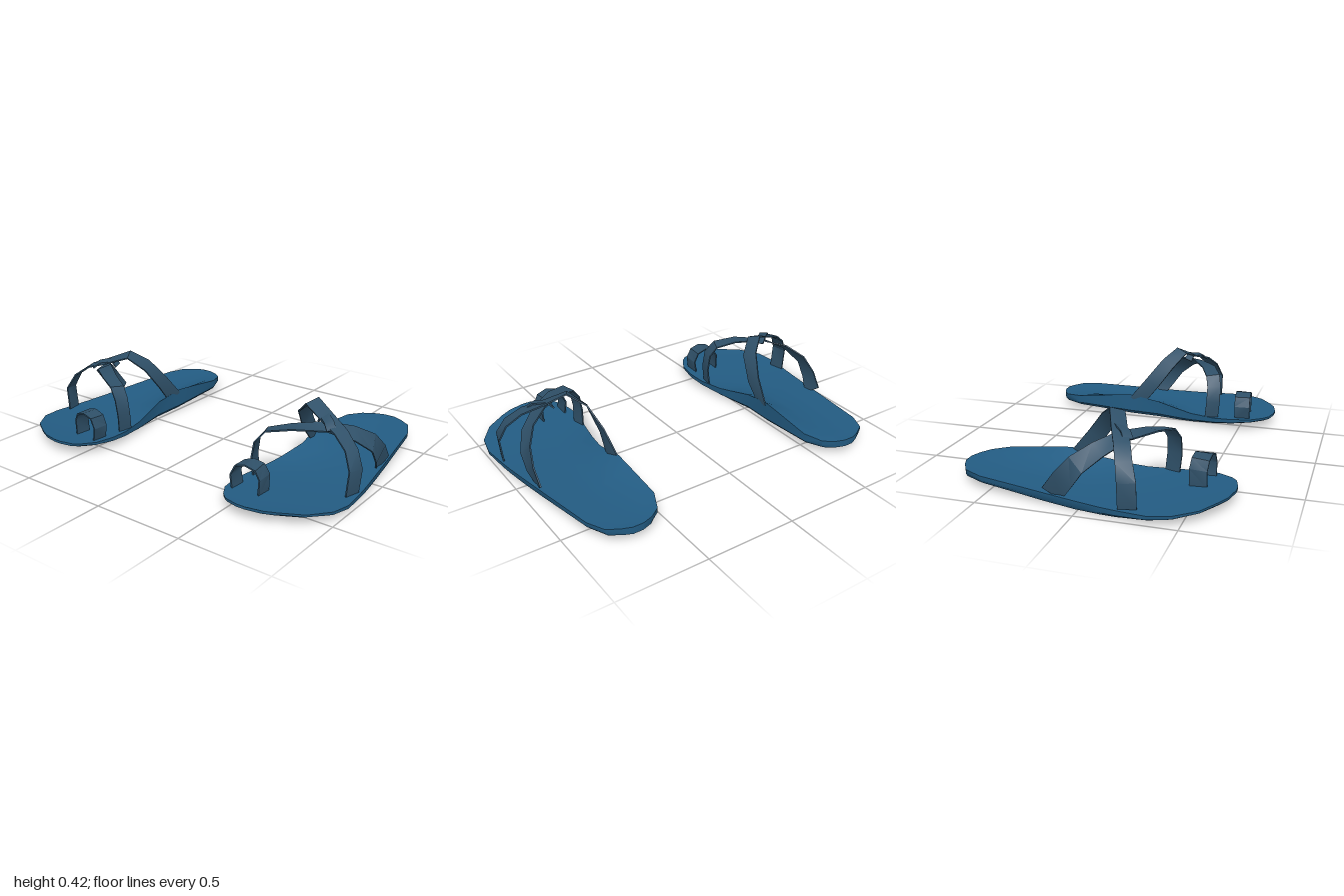
import * as THREE from 'three';
import { toCreasedNormals } from 'three/addons/utils/BufferGeometryUtils.js';

const V = ([x, y, z]) => new THREE.Vector3(x, y, z);

// Skin a series of equal-length closed cross-sections and cap both ends.
function loft(sections, mirror, crease) {
  const n = sections[0].length, last = (sections.length - 1) * n;
  const pos = [], index = [];
  sections.forEach((s) => s.forEach((p) => {
    // the mirrored sandal is turned out very slightly less at the heel
    const x = mirror ? -p.x + 0.007 - 0.018 * p.z : p.x;
    pos.push(x, p.y, p.z);
  }));
  const tri = (a, b, c) => (mirror ? index.push(a, c, b) : index.push(a, b, c));
  for (let i = 0; i < sections.length - 1; i++) {
    for (let j = 0; j < n; j++) {
      const a = i * n + j, b = i * n + (j + 1) % n;
      tri(a, a + n, b);
      tri(b, a + n, b + n);
    }
  }
  for (let j = 1; j < n - 1; j++) {
    tri(0, j, j + 1);
    tri(last, last + j + 1, last + j);
  }
  const g = new THREE.BufferGeometry();
  g.setAttribute('position', new THREE.Float32BufferAttribute(pos, 3));
  g.setIndex(index);
  return toCreasedNormals(g, crease);
}

// Sole stations from heel to toe: z, inner x, outer x, top y, inner edge y, bottom y
const SOLE = [
  [-0.70, 0.66, 0.72, 0.085, 0.085, 0.045],
  [-0.68, 0.60, 0.77, 0.084, 0.085, 0.044],
  [-0.64, 0.545, 0.835, 0.082, 0.087, 0.042],
  [-0.54, 0.50, 0.88, 0.078, 0.098, 0.036],
  [-0.30, 0.50, 0.915, 0.067, 0.125, 0.018],
  [-0.20, 0.50, 0.93, 0.062, 0.135, 0.01],
  [-0.02, 0.51, 0.955, 0.053, 0.103, 0],
  [0.12, 0.48, 0.975, 0.048, 0.075, 0],
  [0.20, 0.46, 0.985, 0.047, 0.062, 0.003],
  [0.35, 0.43, 1.0, 0.048, 0.055, 0.015],
  [0.46, 0.42, 0.98, 0.054, 0.06, 0.027],
  [0.57, 0.437, 0.90, 0.06, 0.063, 0.04],
  [0.64, 0.48, 0.79, 0.066, 0.067, 0.048],
  [0.67, 0.515, 0.73, 0.068, 0.068, 0.052],
  [0.69, 0.59, 0.64, 0.07, 0.07, 0.056],
];

function soleSections() {
  return SOLE.map(([z, xi, xo, top, edge, bot]) => {
    const w = xo - xi;
    return [
      [xi, edge, z],
      [xi + w * 0.16, top + (edge - top) * 0.5, z],
      [xi + w * 0.38, top, z],
      [xi + w * 0.7, top - 0.002, z],
      [xo, top, z],
      [xo - w * 0.005, top * 0.4 + bot * 0.6, z],
      [xo - w * 0.05, bot, z],
      [xi + w * 0.05, bot, z],
      [xi + w * 0.005, top * 0.4 + bot * 0.6, z],
    ].map(V);
  });
}

// Flat band along a path of [x, y, z, optional width]; it faces away from the
// axis (cx, cy) that runs along z, tipped forward by tilt.
function bandSections(path, width, [cx, cy, tilt], thick = 0.008) {
  const pts = path.map(V);
  return pts.map((p, i) => {
    const t = pts[Math.min(i + 1, pts.length - 1)].clone().sub(pts[Math.max(i - 1, 0)]).normalize();
    const out = new THREE.Vector3(p.x - cx, p.y - cy, tilt);
    const side = t.clone().cross(out).normalize();
    const up = side.clone().cross(t).normalize();
    const half = (path[i][3] ?? width) / 2;
    const at = (a, b) => p.clone().addScaledVector(side, a * half).addScaledVector(up, b * thick / 2);
    return [at(1, -1), at(1, 1), at(-1, 1), at(-1, -1)];
  });
}

const BANDS = [
  { // inner front to outer back
    name: 'frontStrap', width: 0.08, axis: [0.7, 0.08, 0.05],
    path: [[0.455, 0.05, 0.33], [0.45, 0.15, 0.34], [0.465, 0.24, 0.34], [0.51, 0.298, 0.322],
      [0.62, 0.322, 0.27], [0.76, 0.325, 0.17], [0.87, 0.285, 0.08, 0.09], [0.93, 0.22, -0.01, 0.1],
      [0.94, 0.14, -0.075, 0.11], [0.925, 0.06, -0.135, 0.11]],
  },
  { // inner back to outer front
    name: 'rearStrap', width: 0.08, axis: [0.72, 0.08, 0.06],
    path: [[0.51, 0.09, -0.165, 0.09], [0.515, 0.22, -0.06, 0.09], [0.55, 0.34, 0.03, 0.09],
      [0.63, 0.408, 0.095], [0.75, 0.36, 0.145], [0.85, 0.325, 0.19], [0.93, 0.265, 0.225],
      [0.972, 0.18, 0.25, 0.09], [0.96, 0.05, 0.25, 0.09]],
  },
  { // toe ring
    name: 'toeLoop', width: 0.09, axis: [0.54, 0.1, 0],
    path: [[0.472, 0.05, 0.515], [0.46, 0.13, 0.515], [0.485, 0.182, 0.512], [0.54, 0.2, 0.51],
      [0.595, 0.186, 0.505], [0.62, 0.14, 0.5], [0.615, 0.05, 0.5]],
  },
  { // wrap over the crossing
    name: 'crossingWrap', width: 0.05, axis: [0.76, 0.1, 0.05],
    path: [[0.70, 0.335, 0.12], [0.725, 0.367, 0.135], [0.78, 0.358, 0.185], [0.81, 0.328, 0.21]],
  },
];

export function createModel() {
  const soleMat = new THREE.MeshStandardMaterial({ color: 0x235c83 });
  soleMat.name = 'blueSole';
  const strapMat = new THREE.MeshStandardMaterial({ color: 0x2f5068 });
  strapMat.name = 'slateStrap';

  const model = new THREE.Group();
  model.name = 'sandals';
  for (const mirror of [false, true]) {
    const sandal = new THREE.Group();
    sandal.name = mirror ? 'rightSandal' : 'leftSandal';
    const add = (name, sections, mat, crease) => {
      const mesh = new THREE.Mesh(loft(sections, mirror, crease), mat);
      mesh.name = name;
      sandal.add(mesh);
    };
    add('sole', soleSections(), soleMat, 0.7);
    for (const b of BANDS) add(b.name, bandSections(b.path, b.width, b.axis), strapMat, 0.6);
    model.add(sandal);
  }
  return model;
}
